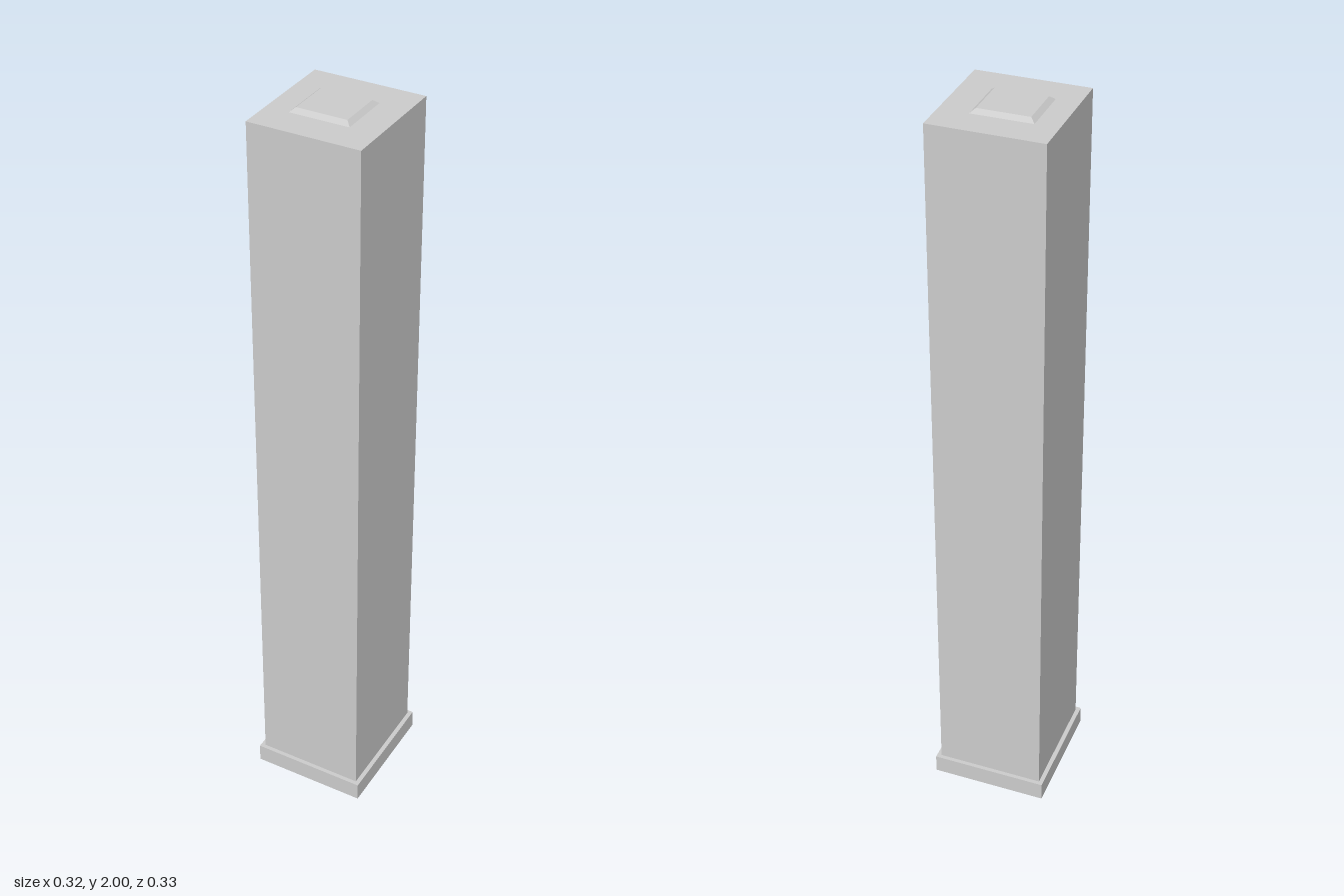
import * as THREE from 'three';

const material = new THREE.MeshStandardMaterial({ color: 0xcccccc, flatShading: true });

// Box standing on y0, its top face drawn in by `inset` on every side
function block(name, width, depth, y0, y1, inset = 0) {
  const geometry = new THREE.BoxGeometry(width, y1 - y0, depth);
  geometry.translate(0, (y0 + y1) / 2, 0);
  const p = geometry.attributes.position;
  for (let i = 0; i < p.count; i++) {
    if (p.getY(i) < (y0 + y1) / 2) continue;
    p.setX(i, p.getX(i) - Math.sign(p.getX(i)) * inset);
    p.setZ(i, p.getZ(i) - Math.sign(p.getZ(i)) * inset);
  }
  geometry.computeVertexNormals();
  const mesh = new THREE.Mesh(geometry, material);
  mesh.name = name;
  return mesh;
}

export function createModel() {
  const model = new THREE.Group();
  model.name = 'pillar';

  // Plinth and tall plain shaft
  model.add(block('plinth', 0.316, 0.332, 0, 0.052));
  model.add(block('shaft', 0.292, 0.31, 0.052, 1.99));

  // Low bevelled pad on top, slightly off centre
  const pad = block('topPad', 0.156, 0.14, 1.99, 2, 0.012);
  pad.position.x = -0.008;
  pad.position.z = -0.001;
  model.add(pad);

  return model;
}
